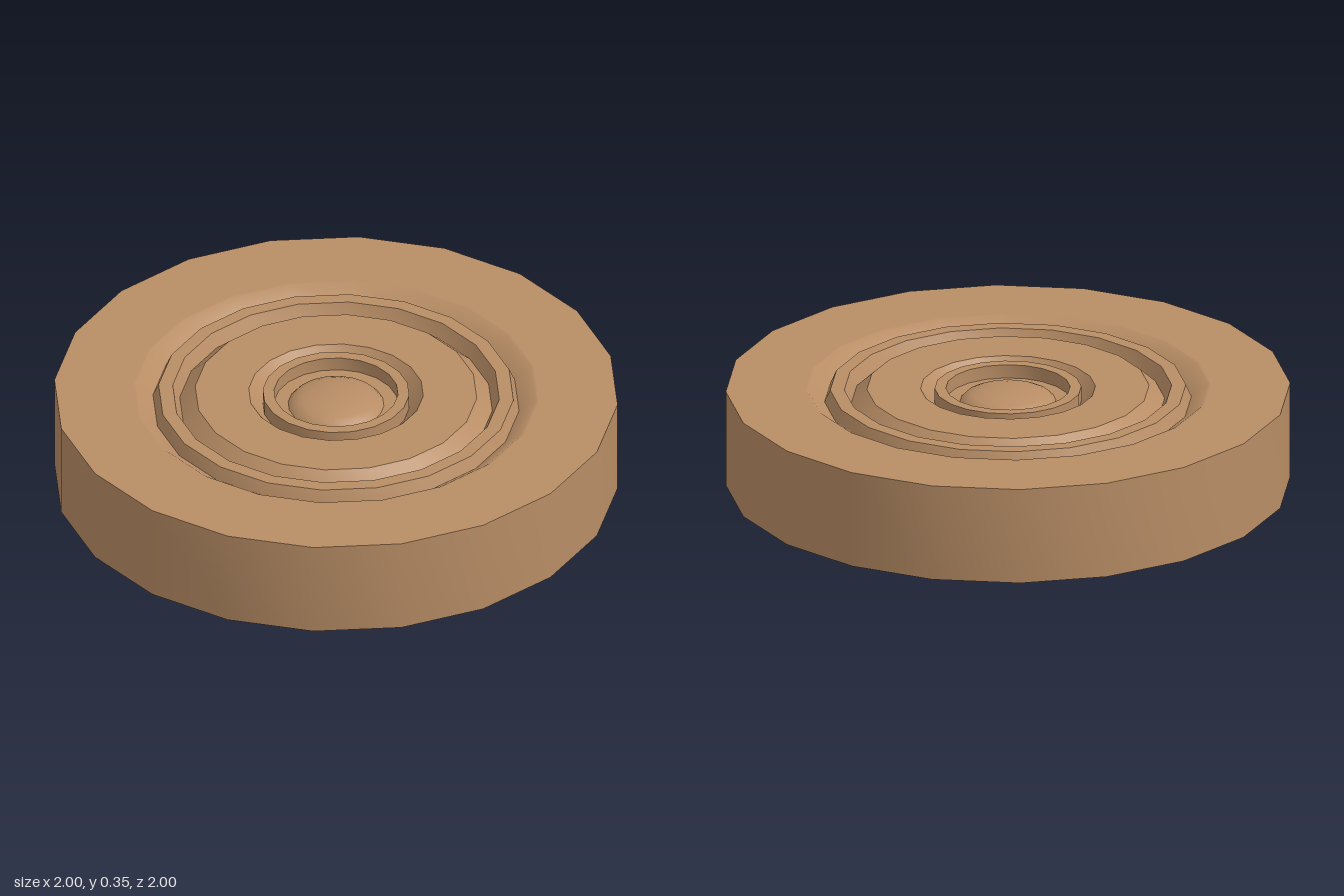
import * as THREE from 'three';
import { mergeGeometries, toCreasedNormals } from 'three/addons/utils/BufferGeometryUtils.js';

const SIDES = 20;
const HEIGHT = 0.355;
const TURN = 0.038; // slight rotation of the polygon

// Revolve [radius, y] points, listed from bottom outwards and up
function revolve(points) {
  const profile = points.map(([r, y]) => new THREE.Vector2(r, y));
  return new THREE.LatheGeometry(profile, SIDES, TURN);
}

// Relief given as [radius, depth below the face] from outside to inside,
// made on the top face and mirrored on the bottom face
function bothFaces(relief) {
  const top = relief.map(([r, d]) => [r, HEIGHT - d]);
  const bottom = relief.map(([r, d]) => [r, d]).reverse();
  return [revolve(bottom), revolve(top)];
}

export function createModel() {
  const model = new THREE.Group();
  model.name = 'wheel';
  const tan = new THREE.MeshStandardMaterial({ color: 0xb88d65 });
  tan.name = 'tan';

  function addPart(name, geometries) {
    const mesh = new THREE.Mesh(toCreasedNormals(mergeGeometries(geometries), 0.7), tan);
    mesh.name = name;
    model.add(mesh);
  }

  // Tyre: straight tread, flat side walls, sloping inner edge
  addPart('tyre', [
    revolve([[1, 0], [1, HEIGHT]]),
    ...bothFaces([[1, 0], [0.72, 0], [0.71, 0], [0.65, 0.045]]),
  ]);

  // Raised rim ring between two grooves
  addPart('rimRing', bothFaces([[0.65, 0.045], [0.63, 0], [0.58, 0], [0.555, 0.05]]));

  // Flat disc with sloping edges
  addPart('disc', bothFaces([[0.555, 0.05], [0.5, 0], [0.31, 0], [0.26, 0.055]]));

  // Hub collar with upright walls and a recessed floor
  addPart('hubCollar', bothFaces([[0.26, 0.055], [0.26, 0], [0.22, 0], [0.22, 0.05], [0.17, 0.05]]));

  // Domed cap in the middle
  addPart('hubCap', bothFaces([[0.17, 0.05], [0.155, 0.033], [0.13, 0.021], [0.08, 0.01], [0, 0.005]]));

  return model;
}
